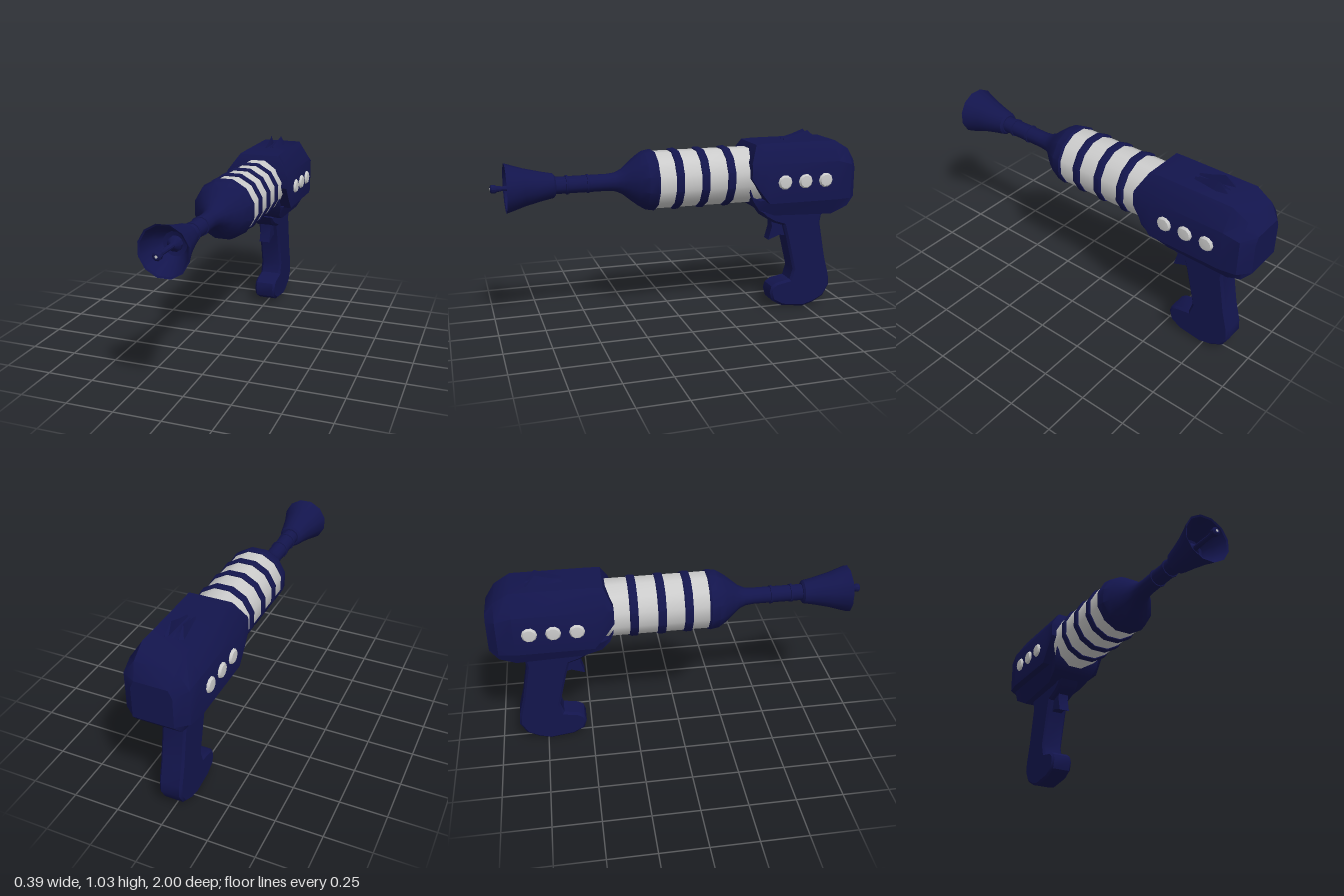
import * as THREE from 'three';
import { toCreasedNormals } from 'three/addons/utils/BufferGeometryUtils.js';

const blue = new THREE.MeshStandardMaterial({ color: 0x13154d });
const grey = new THREE.MeshStandardMaterial({ color: 0xcccccc });
const AXIS_Y = 0.797;

function add(parent, name, geometry, material = blue) {
  const mesh = new THREE.Mesh(toCreasedNormals(geometry, 0.6), material);
  mesh.name = name;
  parent.add(mesh);
  return mesh;
}

// Skin over rings of [x, y, z], counter-clockwise seen from +z, running towards -z
function loft(rings) {
  const pos = [];
  const tri = (...p) => p.forEach((v) => pos.push(...v));
  const n = rings[0].length;
  for (let r = 0; r < rings.length - 1; r++) {
    const a = rings[r], b = rings[r + 1];
    for (let i = 0; i < n; i++) {
      const j = (i + 1) % n;
      tri(a[i], b[i], b[j]);
      tri(a[i], b[j], a[j]);
    }
  }
  const first = rings[0], last = rings[rings.length - 1];
  for (let i = 1; i < n - 1; i++) {
    tri(first[0], first[i], first[i + 1]);
    tri(last[0], last[i + 1], last[i]);
  }
  const g = new THREE.BufferGeometry();
  g.setAttribute('position', new THREE.Float32BufferAttribute(pos, 3));
  return g;
}

// Turned part along the barrel axis; profile is [z, radius] pairs
function turned(profile, sides = 12) {
  const g = new THREE.LatheGeometry(
    profile.map(([z, r]) => new THREE.Vector2(r, z)), sides, Math.PI / sides);
  g.rotateX(Math.PI / 2);
  return g.translate(0, AXIS_Y, 0);
}

// Side outline of [z, y] pairs given a thickness across x
function slab(outline, width, bevel) {
  const shape = new THREE.Shape(outline.map(([z, y]) => new THREE.Vector2(z, y)));
  const depth = width - 2 * bevel;
  const g = new THREE.ExtrudeGeometry(shape, {
    depth, bevelEnabled: bevel > 0, bevelSize: bevel, bevelThickness: bevel,
    bevelOffset: -bevel, bevelSegments: 1,
  });
  g.translate(0, 0, -depth / 2);
  return g.rotateY(-Math.PI / 2);
}

export function createModel() {
  const model = new THREE.Group();
  model.name = 'rayGun';

  // Housing: z, top y, top half width, shoulder y, half width, bottom y
  const housing = [
    [-0.355, 0.885, 0.175, 0.87, 0.18, 0.8],
    [-0.4, 0.975, 0.115, 0.875, 0.18, 0.735],
    [-0.46, 0.98, 0.11, 0.875, 0.18, 0.66],
    [-0.865, 0.98, 0.11, 0.875, 0.18, 0.66],
    [-0.95, 0.93, 0.105, 0.85, 0.165, 0.66],
    [-1, 0.86, 0.085, 0.82, 0.105, 0.66],
  ].map(([z, top, tw, sh, w, bot]) => [
    [w, bot, z], [w, sh, z], [tw, top, z], [-tw, top, z], [-w, sh, z], [-w, bot, z],
  ]);
  add(model, 'housing', loft(housing));

  // Narrower belly under the housing: z, bottom y, largest half width
  const belly = [
    [-0.36, 0.72, 0.14], [-0.38, 0.67, 0.14], [-0.42, 0.615, 0.14], [-0.52, 0.575, 0.14],
    [-0.87, 0.56, 0.14], [-0.955, 0.605, 0.135], [-1, 0.655, 0.105],
  ].map(([z, y, w]) => {
    const low = Math.min(w, 0.1 + 0.4 * (y - 0.56));
    const top = Math.max(0.67, y + 0.02);
    return [[low, y, z], [w, top, z], [-w, top, z], [-low, y, z]];
  });
  add(model, 'belly', loft(belly));

  // Barrel with its bands
  add(model, 'barrel', turned([[-0.45, 0], [-0.45, 0.155], [0.16, 0.155], [0.16, 0]]), grey);
  for (const z of [0.035, -0.105, -0.25]) {
    add(model, 'barrelBand', turned([
      [z - 0.022, 0.15], [z - 0.022, 0.16], [z - 0.014, 0.165],
      [z + 0.014, 0.165], [z + 0.022, 0.16], [z + 0.022, 0.15],
    ]));
  }

  // Shoulder cone running into the thin neck
  add(model, 'neck', turned([
    [0.145, 0], [0.145, 0.16], [0.155, 0.165], [0.2, 0.157], [0.24, 0.132], [0.28, 0.1],
    [0.32, 0.066], [0.355, 0.05], [0.4, 0.045], [0.69, 0.045],
  ]));
  for (const z of [0.5, 0.61]) {
    add(model, 'neckRing', turned([
      [z - 0.007, 0.04], [z - 0.006, 0.05], [z + 0.006, 0.05], [z + 0.007, 0.04],
    ]));
  }

  // Hollow flared muzzle
  add(model, 'muzzle', turned([
    [0.67, 0], [0.67, 0.052], [0.68, 0.064], [0.74, 0.076], [0.83, 0.098], [0.925, 0.129],
    [0.92, 0.12], [0.85, 0.092], [0.8, 0.06], [0.78, 0],
  ]));
  add(model, 'emitter', turned([
    [0.77, 0.04], [0.81, 0.036], [0.83, 0.014], [0.94, 0.012], [0.965, 0.016],
    [0.975, 0.022], [0.993, 0.022], [0.999, 0.014], [0.999, 0],
  ], 10));
  add(model, 'emitterTip', turned([[0.99, 0.007], [1, 0.007], [1, 0]], 8), grey);

  // Domed buttons on both sides
  for (const side of [1, -1]) {
    for (const z of [-0.545, -0.665, -0.785]) {
      const g = new THREE.LatheGeometry(
        [[0.04, -0.02], [0.04, 0.004], [0.032, 0.013], [0, 0.016]]
          .map(([r, h]) => new THREE.Vector2(r, h)), 10);
      g.rotateZ(-side * Math.PI / 2);
      add(model, 'button', g, grey).position.set(side * 0.18, 0.775, z);
    }
  }

  // Sights: two outer fins spreading to the rear and a low one between them
  const fin = (rows) => loft(rows.map(([z, inner, peak, outer, top]) => [
    [outer, 0.97, z], [peak, top, z], [inner, 0.97, z],
  ]));
  const rows = [
    [-0.6, 0.012, 0.02, 0.033, 0.99], [-0.67, 0.014, 0.024, 0.042, 1.008],
    [-0.735, 0.018, 0.03, 0.053, 1.03], [-0.79, 0.02, 0.036, 0.06, 0.982],
  ];
  add(model, 'leftFin', fin(rows));
  add(model, 'rightFin', fin(rows.map(([z, i, p, o, t]) => [z, -o, -p, -i, t])));
  add(model, 'middleFin', fin([
    [-0.61, -0.006, 0, 0.006, 0.985], [-0.73, -0.013, 0, 0.013, 0.998],
    [-0.79, -0.014, 0, 0.014, 0.98],
  ]));

  // Grip with a curled foot, and the trigger
  add(model, 'grip', slab([
    [-0.46, 0.59], [-0.49, 0.55], [-0.54, 0.52], [-0.6, 0.5], [-0.62, 0.43], [-0.668, 0.235],
    [-0.65, 0.175], [-0.57, 0.16], [-0.54, 0.14], [-0.53, 0.105], [-0.545, 0.055],
    [-0.605, 0.02], [-0.735, 0.003], [-0.8, 0.02], [-0.865, 0.055], [-0.9, 0.12],
    [-0.895, 0.18], [-0.865, 0.29], [-0.825, 0.5], [-0.84, 0.59],
  ], 0.126, 0.012));
  add(model, 'trigger', slab([
    [-0.535, 0.54], [-0.54, 0.49], [-0.52, 0.415], [-0.59, 0.44], [-0.64, 0.43], [-0.64, 0.54],
  ], 0.062, 0));

  return model;
}
